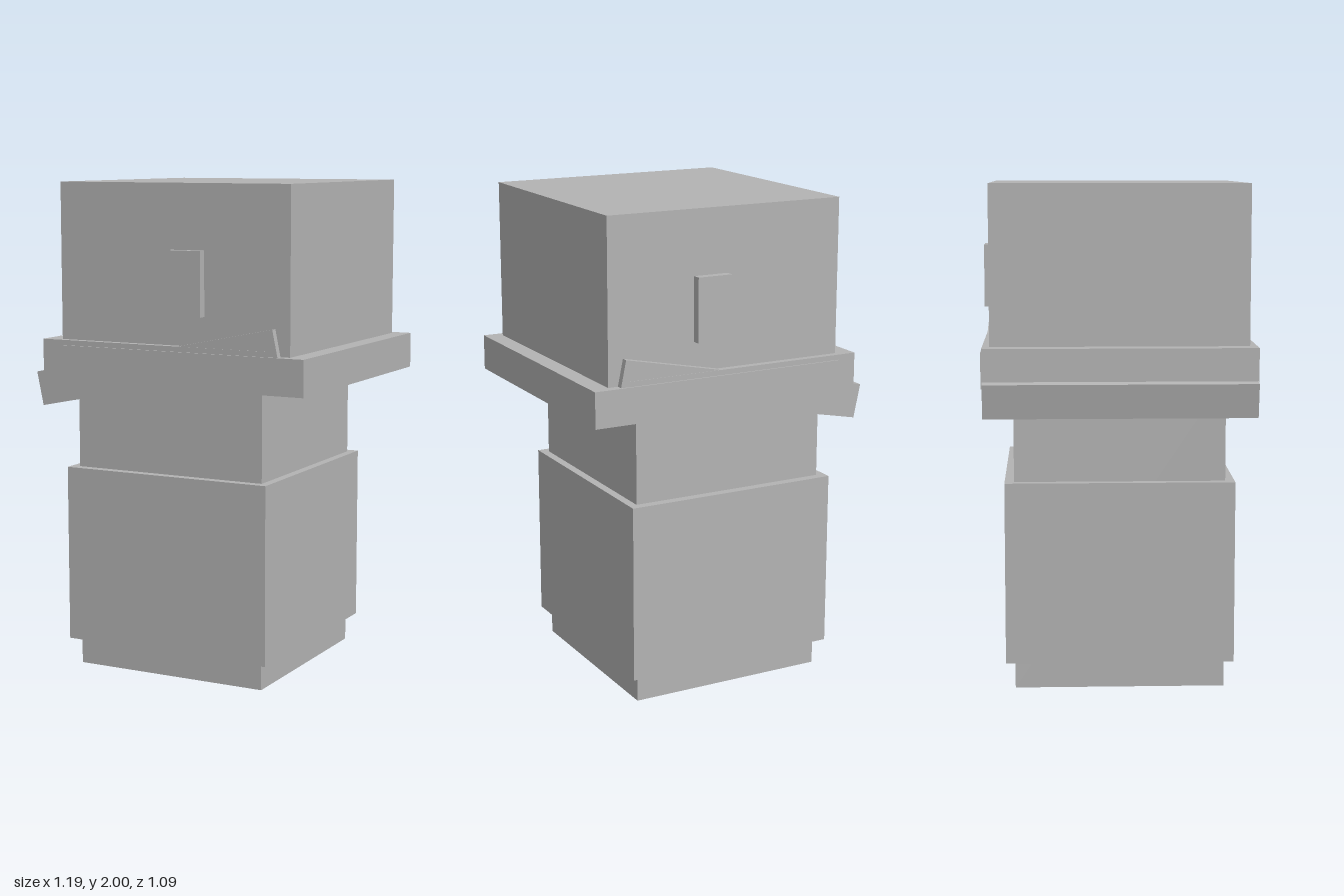
import * as THREE from 'three';

export function createModel() {
  const model = new THREE.Group();
  const grey = new THREE.MeshStandardMaterial({ color: 0xb3b3b3 });
  grey.name = 'light grey';

  // Box from x and y ranges, centred in z
  function block(name, x0, x1, y0, y1, depth, tilt = 0) {
    const mesh = new THREE.Mesh(new THREE.BoxGeometry(x1 - x0, y1 - y0, depth), grey);
    mesh.name = name;
    mesh.position.set((x0 + x1) / 2, (y0 + y1) / 2, 0);
    mesh.rotation.z = tilt;
    model.add(mesh);
  }

  // Column with a wider sleeve
  block('column', -0.475, 0.36, 0, 1.25, 0.833);
  block('sleeve', -0.512, 0.394, 0.11, 0.836, 0.907);

  // Head with a small bar running through it
  block('head', -0.492, 0.523, 1.205, 2, 1.015);
  block('headBar', 0.011, 0.156, 1.488, 1.743, 1.086);

  // Overlapping collar bands
  block('lowerBand', -0.492, 0.595, 1.205, 1.35, 1.086);
  block('upperBand', -0.566, 0.45, 1.23, 1.371, 1.073);
  block('tiltedBand', -0.597, 0.486, 1.208, 1.347, 1.069, 0.205);

  return model;
}
